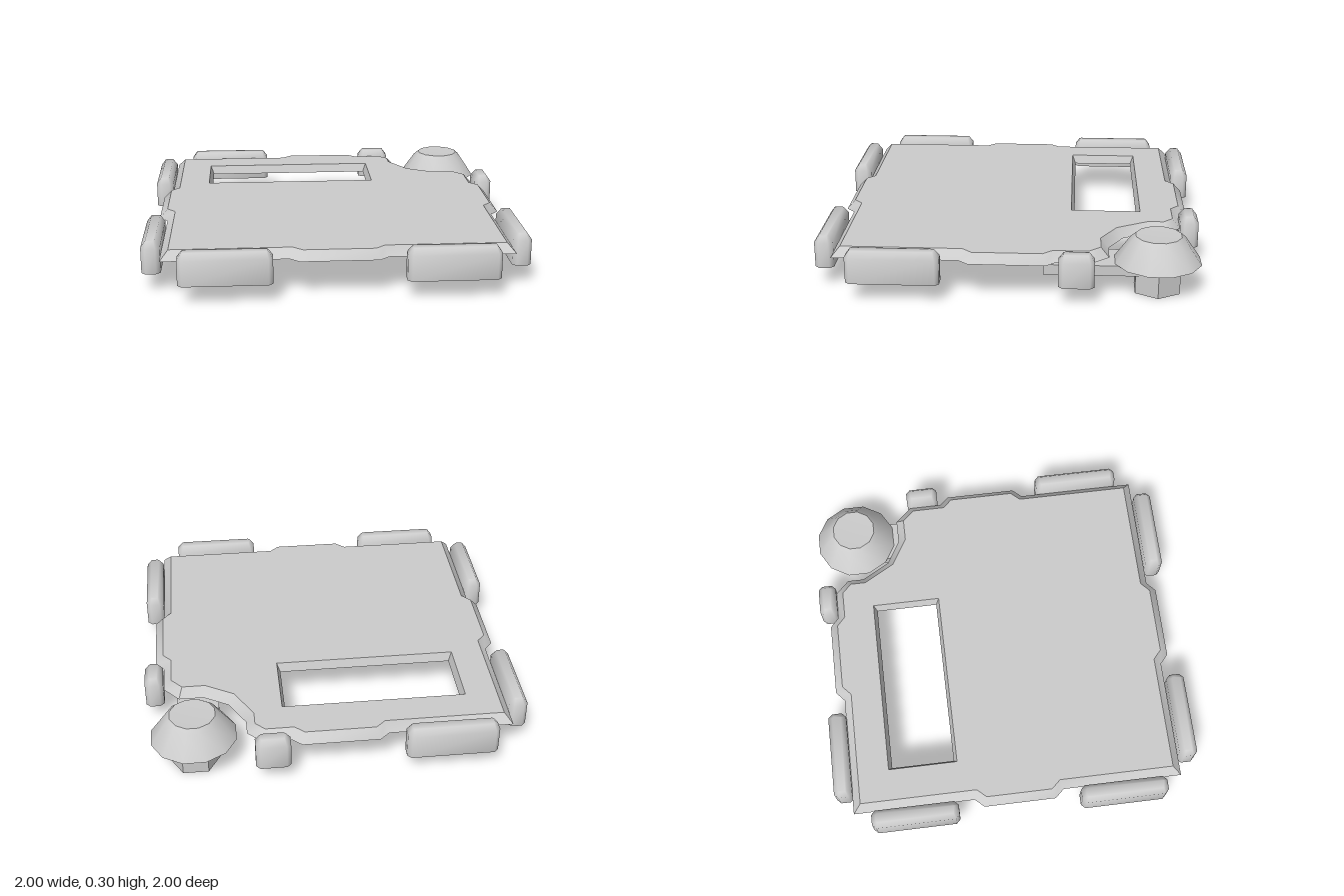
import * as THREE from 'three';
import { mergeGeometries, toCreasedNormals } from 'three/addons/utils/BufferGeometryUtils.js';

const grey = new THREE.MeshStandardMaterial({ color: 0xcccccc });
const sheet = new THREE.MeshStandardMaterial({ color: 0xcccccc, side: THREE.DoubleSide });

function addMesh(parent, name, geometry, material = grey) {
  const mesh = new THREE.Mesh(geometry, material);
  mesh.name = name;
  parent.add(mesh);
  return mesh;
}

// Mitred offset of a closed loop towards the left of its direction
function inset(loop, d) {
  const n = loop.length;
  return loop.map((p, i) => {
    const u = p.clone().sub(loop[(i + n - 1) % n]).normalize();
    const v = loop[(i + 1) % n].clone().sub(p).normalize();
    const a = new THREE.Vector2(-u.y, u.x), b = new THREE.Vector2(-v.y, v.x);
    return p.clone().addScaledVector(a.clone().add(b), d / (1 + a.dot(b)));
  });
}

// Sloping strip between a low loop and a high loop of equal length
function strip(low, high, y0, y1) {
  const pos = [];
  low.forEach((p, i) => {
    const j = (i + 1) % low.length;
    const a = [p.x, y0, -p.y], b = [low[j].x, y0, -low[j].y];
    const c = [high[j].x, y1, -high[j].y], d = [high[i].x, y1, -high[i].y];
    pos.push(...a, ...b, ...c, ...a, ...c, ...d);
  });
  const g = new THREE.BufferGeometry();
  g.setAttribute('position', new THREE.Float32BufferAttribute(pos, 3));
  g.computeVertexNormals();
  return g;
}

// Thin panel with edge tabs, a notched corner, a window and sloping rims
function panelGeometry() {
  const toLoop = (pts) => pts.map(([x, z]) => new THREE.Vector2(x, -z));
  const outer = toLoop([
    [-0.9, 0.895], [-0.25, 0.895], [-0.2, 0.94], [0.2, 0.94], [0.25, 0.895], [0.9, 0.895],
    [0.9, 0.245], [0.945, 0.195], [0.945, -0.195], [0.9, -0.245], [0.9, -0.425],
    [0.82, -0.515], [0.69, -0.515], [0.56, -0.59], [0.475, -0.74], [0.475, -0.83], [0.4, -0.905],
    [0.25, -0.905], [0.2, -0.95], [-0.2, -0.95], [-0.25, -0.905], [-0.9, -0.905],
    [-0.9, -0.245], [-0.945, -0.195], [-0.945, 0.195], [-0.9, 0.245],
  ]);
  const hole = toLoop([[-0.67, -0.675], [0.265, -0.675], [0.265, -0.335], [-0.67, -0.335]]);
  // the hole runs the other way round, so its rim slopes into the opening
  if (!THREE.ShapeUtils.isClockWise(hole)) hole.reverse();
  const top = inset(outer, 0.043), holeTop = inset(hole, 0.018);
  const shape = new THREE.Shape(top);
  shape.holes.push(new THREE.Path(holeTop));
  const face = new THREE.ShapeGeometry(shape).toNonIndexed();
  face.rotateX(-Math.PI / 2).translate(0, 0.245, 0);
  face.deleteAttribute('uv');
  const rims = [strip(outer, top, 0.197, 0.245), strip(hole, holeTop, 0.197, 0.245)];
  return toCreasedNormals(mergeGeometries([face, ...rims]), 0.6);
}

// Upright bar with clipped plan corners and a chamfered top
function bumperGeometry(length) {
  const x = length / 2, z = 0.049, c = 0.022, b = 0.025;
  const pts = [[x - c, -z], [x, -z + c], [x, z - c], [x - c, z], [-x + c, z], [-x, z - c], [-x, -z + c], [-x + c, -z]];
  const low = pts.map((p) => new THREE.Vector2(...p));
  const high = inset(low, b);
  const cap = (loop, y, turn) => {
    const g = new THREE.ShapeGeometry(new THREE.Shape(loop)).toNonIndexed();
    g.deleteAttribute('uv');
    return g.rotateX(turn * Math.PI / 2).translate(0, y, 0);
  };
  return toCreasedNormals(mergeGeometries([
    strip(low, low, 0.1, 0.235), strip(low, high, 0.235, 0.27),
    cap(high, 0.27, -1), cap(low, 0.1, 1),
  ]), 1.0);
}

export function createModel() {
  const model = new THREE.Group();
  model.name = 'panel';
  addMesh(model, 'topPanel', panelGeometry(), sheet);

  // Bumpers around the rim: x, z, length, runs along z
  const long = 0.475, short = 0.18, edge = 0.951;
  const bumpers = [
    [-0.572, edge, long, false], [0.572, edge, long, false],
    [-0.572, -edge, long, false], [0.35, -edge, short, false],
    [-edge, 0.572, long, true], [-edge, -0.572, long, true],
    [edge, 0.572, long, true], [edge, -0.35, short, true],
  ];
  bumpers.forEach(([x, z, length, alongZ], i) => {
    const bar = addMesh(model, `bumper${i + 1}`, bumperGeometry(length));
    bar.position.set(x, 0, z);
    if (alongZ) bar.rotation.y = Math.PI / 2;
  });

  // Twelve-sided cap on a six-sided post in the notched corner
  const knob = new THREE.Group();
  knob.name = 'cornerKnob';
  knob.position.set(0.748, 0, -0.765);
  model.add(knob);
  const profile = [[0, 0.157], [0.227, 0.157], [0.145, 0.275], [0.12, 0.297], [0, 0.292]];
  const cap = new THREE.LatheGeometry(profile.map((p) => new THREE.Vector2(...p)), 12, Math.PI / 12);
  addMesh(knob, 'cap', toCreasedNormals(cap, 0.5));
  const post = new THREE.CylinderGeometry(0.132, 0.132, 0.16, 6);
  post.rotateY(Math.PI / 2).translate(0, 0.08, 0);
  addMesh(knob, 'post', toCreasedNormals(post, 0.5));

  // Channel bracket, open below, that carries the post
  const bracket = new THREE.Group();
  bracket.name = 'bracket';
  bracket.position.set(0.72, 0, -0.43);
  model.add(bracket);
  addMesh(bracket, 'bracketTop', new THREE.BoxGeometry(0.22, 0.012, 0.5)).position.y = 0.149;
  for (const s of [-1, 1]) {
    addMesh(bracket, s > 0 ? 'leftWall' : 'rightWall', new THREE.BoxGeometry(0.015, 0.055, 0.5))
      .position.set(s * 0.1025, 0.1275, 0);
  }
  return model;
}
